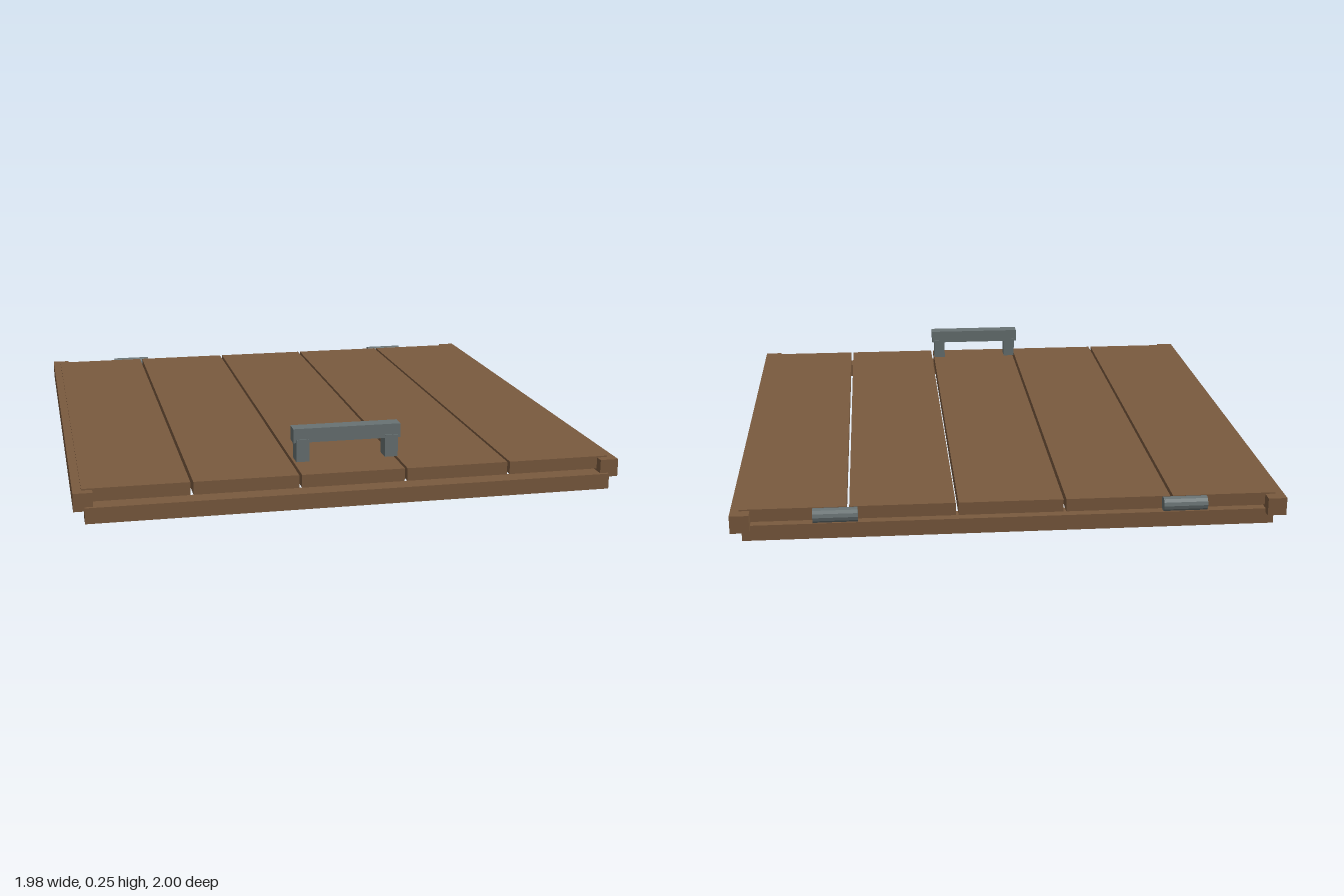
import * as THREE from 'three';

export function createModel() {
  const group = new THREE.Group();
  const wood = new THREE.MeshStandardMaterial({ color: 0x7a5a3e });
  wood.name = 'brown wood';
  const metal = new THREE.MeshStandardMaterial({ color: 0x687273 });
  metal.name = 'grey iron';

  // Box given by its minimum and maximum on each axis
  function box(name, material, [x0, x1], [y0, y1], [z0, z1]) {
    const mesh = new THREE.Mesh(new THREE.BoxGeometry(x1 - x0, y1 - y0, z1 - z0), material);
    mesh.position.set((x0 + x1) / 2, (y0 + y1) / 2, (z0 + z1) / 2);
    mesh.name = name;
    group.add(mesh);
    return mesh;
  }

  // Five planks with narrow gaps
  const pitch = 0.385, half = 0.1875;
  for (let i = -2; i <= 2; i++) {
    box('plank', wood, [i * pitch - half, i * pitch + half], [0.065, 0.112], [-0.955, 0.955]);
  }

  // Cross battens under the planks
  box('frontBatten', wood, [-0.95, 0.95], [0, 0.057], [0.93, 1]);
  box('backBatten', wood, [-0.95, 0.95], [0, 0.057], [-0.97, -0.9]);

  // Mirrored side rails, hinges and handle posts
  for (const s of [-1, 1]) {
    const span = (a, b) => (s > 0 ? [a, b] : [-b, -a]);
    box('sideRail', wood, span(0.92, 0.988), [0.042, 0.107], [-1, 0.988]);
    box('handlePost', metal, span(0.14, 0.188), [0.128, 0.21], [0.79, 0.855]);

    const hinge = new THREE.Mesh(
      new THREE.CylinderGeometry(0.026, 0.026, 0.158, 12).toNonIndexed(), metal);
    hinge.geometry.computeVertexNormals();
    hinge.rotation.z = Math.PI / 2;
    hinge.position.set(s * 0.622, 0.09, -0.974);
    hinge.name = 'hinge';
    group.add(hinge);
  }

  // Handle grip
  box('handleGrip', metal, [-0.198, 0.198], [0.198, 0.25], [0.795, 0.85]);

  return group;
}
